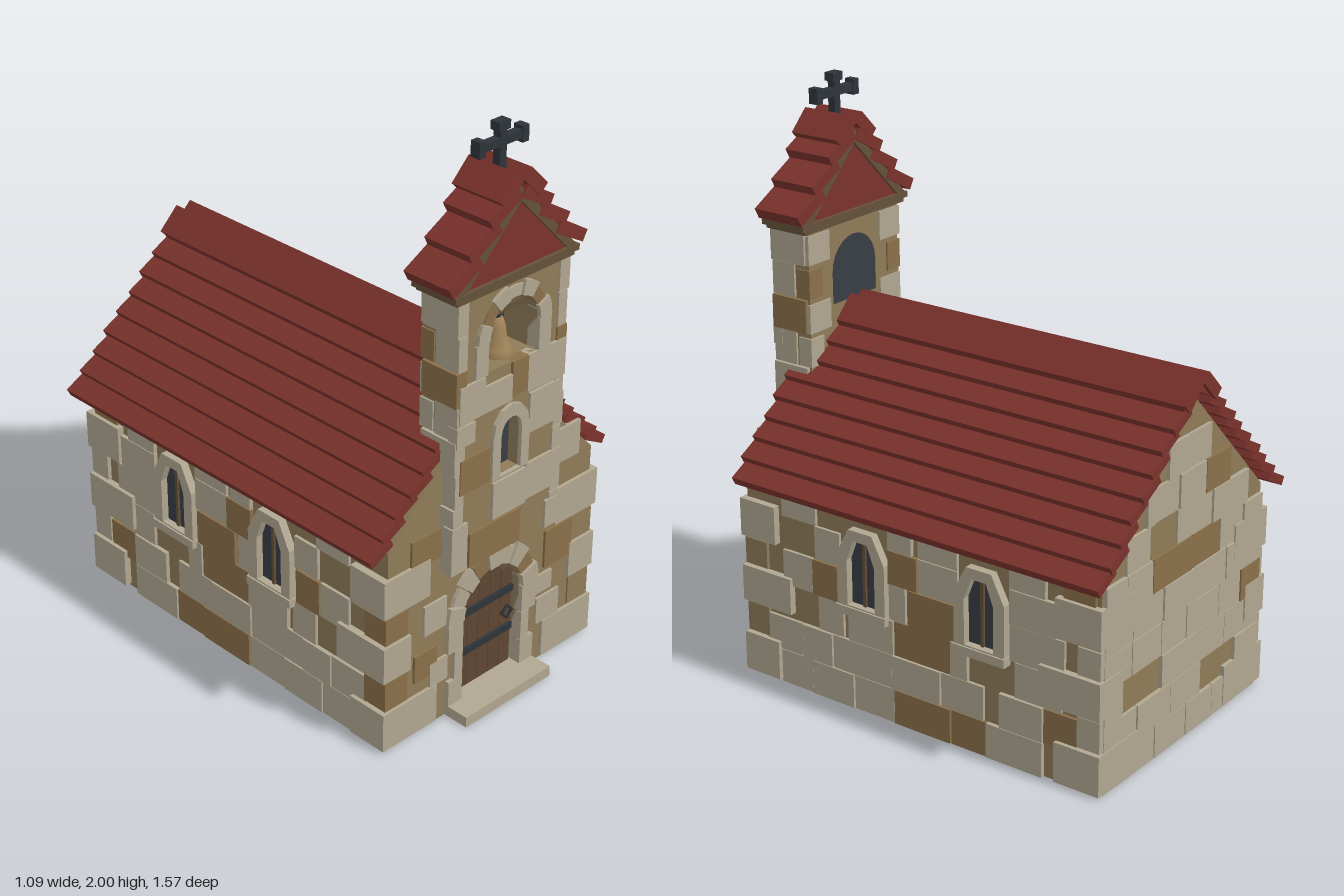
import * as THREE from 'three';

const mat = (name, color) => Object.assign(new THREE.MeshStandardMaterial({ color }), { name });
const M = {
  tan: mat('tan plaster', 0x8f7b58), light: mat('pale stone', 0xb0a791), brown: mat('brown stone', 0x8a7049),
  red: mat('red roof', 0x7a322c), trim: mat('trim wood', 0x65513a), door: mat('door wood', 0x5f4634),
  iron: mat('dark iron', 0x2e343a), glass: mat('dark glass', 0x383d45), bell: mat('bell bronze', 0xa08459),
};

export function createModel() {
  const root = new THREE.Group();
  root.name = 'chapel';
  const group = (name, parent = root) => { const g = new THREE.Group(); g.name = name; parent.add(g); return g; };
  const add = (parent, name, geo, m) => { const o = new THREE.Mesh(geo, m); o.name = name; parent.add(o); return o; };
  // box given by its limits on each axis
  const box = (parent, name, m, x0, x1, y0, y1, z0, z1) => {
    const o = add(parent, name, new THREE.BoxGeometry(Math.abs(x1 - x0), y1 - y0, Math.abs(z1 - z0)), m);
    o.position.set((x0 + x1) / 2, (y0 + y1) / 2, (z0 + z1) / 2);
    return o;
  };
  const poly = pts => new THREE.Shape(pts.map(p => new THREE.Vector2(...p)));
  const extrude = (shape, z0, z1) =>
    new THREE.ExtrudeGeometry(shape, { depth: z1 - z0, bevelEnabled: false, curveSegments: 8 }).translate(0, 0, z0);
  // outline with straight jambs and a rounded head
  const archPts = (hw, y0, ys, ry, n) => {
    const p = [[-hw, y0], [hw, y0]];
    for (let i = 0; i <= n; i++) p.push([hw * Math.cos(Math.PI * i / n), ys + ry * Math.sin(Math.PI * i / n)]);
    return p;
  };
  const archRing = (outer, inner) => { const s = poly(outer); s.holes.push(poly(inner)); return s; };
  // wedge stones around an arch
  const voussoirs = (parent, cy, r0, r1, n, z0, z1) => {
    for (let i = 0; i < n; i++) {
      const a = Math.PI * i / n + 0.015, b = Math.PI * (i + 1) / n - 0.015, r = r1 - (i % 2) * 0.012;
      const at = (q, t) => [q * Math.cos(t), cy + q * Math.sin(t)];
      const s = poly([at(r0, a), at(r, a), at(r, (a + b) / 2), at(r, b), at(r0, b), at(r0, (a + b) / 2)]);
      add(parent, 'archStone', extrude(s, z0, z1 - (i % 2) * 0.006), i % 4 === 1 ? M.brown : M.light);
    }
  };

  // nave with gable ends, and a front wall pierced by the doorway
  const gable = [[-0.465, 0], [0.465, 0], [0.465, 0.735], [0, 1.2], [-0.465, 0.735]];
  const nave = group('nave');
  add(nave, 'naveWalls', extrude(poly(gable), -0.735, 0.59), M.tan);
  const doorway = archPts(0.138, 0.03, 0.345, 0.137, 12);
  const front = poly([[-0.465, 0], [0.465, 0], [0.465, 0.735], [0.23, 0.97], [-0.23, 0.97], [-0.465, 0.735]]);
  front.holes.push(poly(doorway));
  add(nave, 'frontWall', extrude(front, 0.59, 0.688), M.tan);

  // side wall stones by row: [front z, back z, material]
  const L = M.light, B = M.brown;
  const rows = [
    [0, 0.122, [[0.55, 0.41, L], [0.41, 0.23, L], [0.23, 0.06, L], [0.06, -0.17, B], [-0.17, -0.31, B], [-0.31, -0.53, L]]],
    [0.124, 0.244, [[0.61, 0.45, L], [0.45, 0.32, L], [0.32, 0.07, L], [0.07, -0.13, L], [-0.13, -0.3, L], [-0.36, -0.53, L], [-0.53, -0.66, B]]],
    [0.248, 0.37, [[0.38, 0.27, L], [0.25, 0.06, L], [0.06, -0.17, B], [-0.17, -0.24, L], [-0.42, -0.6, L]]],
    [0.372, 0.497, [[0.53, 0.4, L], [0.4, 0.29, B], [0.08, 0.01, L], [0, -0.19, B], [-0.4, -0.61, L]]],
    [0.5, 0.617, [[0.39, 0.28, L], [0.08, -0.04, B], [-0.04, -0.2, L], [-0.4, -0.58, L]]],
    [0.62, 0.72, [[0.53, 0.38, L], [0.08, -0.02, L], [-0.04, -0.2, L], [-0.4, -0.54, L], [-0.6, -0.72, B]]],
  ];
  const stones = group('wallStones');
  for (const s of [1, -1]) {
    for (const [y0, y1, list] of rows)
      list.forEach(([a, b, m], i) => box(stones, 'sideStone', m, s * 0.45, s * (0.476 + (i % 2) * 0.004), y0, y1, b + 0.002, a - 0.002));
    // corner stones wrapping front and back
    [[0.01, 0.15, 0.24], [0.27, 0.4, 0.12], [0.51, 0.645, 0.2]].forEach(([y0, y1, w], i) => {
      const d = [0.15, 0.21, 0.15][i];
      box(stones, 'frontQuoin', L, s * (0.49 - w), s * 0.49, y0, y1, 0.7 - d, 0.7);
      box(stones, 'backQuoin', L, s * (0.49 - w), s * 0.49, y0, y1, -0.75, -0.75 + d + 0.02);
    });
    [[0.155, 0.262], [0.405, 0.5]].forEach(([y0, y1]) => {
      box(stones, 'frontQuoin', s > 0 ? M.tan : B, s * 0.38, s * 0.477, y0, y1, 0.6, 0.694);
      box(stones, 'backQuoin', L, s * 0.4, s * 0.48, y0, y1, -0.744, -0.66);
    });
  }
  // scattered front stones: x0, x1, y0, y1, material
  [[-0.35, -0.25, 0.2, 0.3, B], [-0.31, -0.21, 0.36, 0.47, L], [-0.28, -0.2, 0.15, 0.24, L], [0.22, 0.33, 0.15, 0.25, L],
    [0.25, 0.38, 0.36, 0.5, B], [0.24, 0.395, 0.74, 0.865, L], [-0.37, -0.24, 0.63, 0.735, B], [0.2, 0.29, 0.27, 0.34, L],
  ].forEach(([a, b, c, d, m]) => box(stones, 'frontStone', m, a, b, c, d, 0.67, 0.697));
  // coursed back wall, trimmed under the gable
  let seed = 7;
  const rnd = () => (seed = (seed * 16807) % 2147483647) / 2147483647;
  for (let r = 0; r < 10; r++) {
    const y0 = r * 0.118, y1 = y0 + 0.115, lim = Math.min(0.46, 1.185 - y1);
    for (let x = -lim - (r % 2) * 0.05; x < lim;) {
      const w = 0.13 + rnd() * 0.1, a = Math.max(x, -lim), b = Math.min(x + w, lim), k = rnd();
      if (b - a > 0.03 && k > 0.14) box(stones, 'backStone', k < 0.24 ? B : L, a + 0.002, b - 0.002, y0, y1, -0.744 - rnd() * 0.006, -0.72);
      x += w;
    }
  }

  // side windows
  for (const s of [1, -1]) for (const z of [0.18, -0.295]) {
    const g = group('sideWindow');
    g.position.set(s * 0.46, 0, z);
    g.rotation.y = s * Math.PI / 2;
    const hole = archPts(0.057, 0.385, 0.545, 0.085, 3);
    add(g, 'windowFrame', extrude(archRing(archPts(0.098, 0.355, 0.56, 0.11, 3), hole), 0, 0.034), L);
    add(g, 'windowSill', new THREE.BoxGeometry(0.205, 0.03, 0.045).translate(0, 0.365, 0.018), L);
    add(g, 'windowGlass', extrude(poly(hole), 0, 0.008), M.glass);
    box(g, 'mullion', M.trim, -0.006, 0.006, 0.385, 0.615, 0.006, 0.016);
  }

  // door, jambs, arch and step
  const door = group('door');
  add(door, 'doorRecess', extrude(poly(doorway), 0.592, 0.6), M.glass);
  for (let i = 0; i < 5; i++) {
    const x = -0.104 + i * 0.052, h = 0.345 + Math.sqrt(Math.max(0, 0.018 - (Math.abs(x) + 0.012) ** 2));
    box(door, 'doorPlank', M.door, x - 0.025, x + 0.025, 0.04, h, 0.6, 0.664);
  }
  for (const y of [0.183, 0.332]) box(door, 'doorStrap', M.iron, -0.128, 0.128, y - 0.012, y + 0.012, 0.66, 0.674);
  add(door, 'doorRing', new THREE.TorusGeometry(0.023, 0.006, 5, 4), M.iron).position.set(0.1, 0.25, 0.674);
  voussoirs(door, 0.345, 0.138, 0.212, 9, 0.65, 0.708);
  for (const s of [1, -1]) [[0.03, 0.13, 0.2], [0.132, 0.24, 0.175], [0.242, 0.343, 0.205]].forEach(([y0, y1, x]) =>
    box(door, 'doorJamb', L, s * 0.138, s * x, y0, y1, 0.65, 0.704));
  box(door, 'doorStep', L, -0.2, 0.2, 0, 0.038, 0.6, 0.785);

  // bell tower with through openings
  const tower = group('bellTower');
  const wall = poly([[-0.23, 0.57], [0.23, 0.57], [0.23, 1.53], [-0.23, 1.53]]);
  const bellHole = archPts(0.112, 1.24, 1.35, 0.112, 12), slitHole = archPts(0.046, 0.86, 1.0, 0.056, 8);
  wall.holes.push(poly(bellHole), poly(slitHole));
  add(tower, 'towerWall', extrude(wall, 0.592, 0.738), M.tan);
  add(tower, 'bellNicheBack', extrude(poly(bellHole), 0.594, 0.602), M.glass);
  add(tower, 'towerWindowGlass', extrude(poly(slitHole), 0.69, 0.698), M.glass);
  add(tower, 'towerWindowFrame', extrude(archRing(archPts(0.082, 0.855, 1.0, 0.1, 6), slitHole), 0.7, 0.752), L);
  voussoirs(tower, 1.35, 0.112, 0.162, 7, 0.7, 0.752);
  for (const s of [1, -1]) {
    box(tower, 'bellJamb', L, s * 0.112, s * 0.165, 1.24, 1.35, 0.7, 0.748);
    // stones on the tower flanks and back corners
    for (let i = 0; i < 8; i++) {
      const y = 0.58 + i * 0.118, wide = i % 2;
      box(tower, 'flankStone', i === 5 ? B : L, s * 0.2, s * (0.238 + wide * 0.006), y, y + 0.115, wide ? 0.6 : 0.65, 0.744);
      if (i > 3) box(tower, 'backCornerStone', i % 3 ? L : B, s * (wide ? 0.13 : 0.17), s * 0.236, y, y + 0.1, 0.586, 0.64);
    }
  }
  [[-0.23, -0.12, 1.11, 1.235, L], [-0.12, 0, 1.11, 1.2, L], [0, 0.07, 1.12, 1.24, B], [0.07, 0.24, 1.11, 1.24, L],
    [-0.24, -0.16, 1.03, 1.1, L], [0.085, 0.22, 0.96, 1.1, L], [-0.22, -0.09, 0.86, 0.98, B], [-0.07, 0.08, 0.71, 0.84, L],
    [0.08, 0.24, 0.72, 0.85, L], [-0.25, -0.18, 0.58, 0.75, L], [-0.17, 0.06, 0.58, 0.7, B], [0.18, 0.235, 0.57, 0.67, L],
  ].forEach(([a, b, c, d, m]) => box(tower, 'towerStone', m, a, b, c, d, 0.71, 0.748));

  // bell on its beam
  const bell = [[0, 0.12], [0.018, 0.118], [0.027, 0.09], [0.033, 0.05], [0.045, 0.02], [0.055, 0], [0.045, 0], [0, 0.05]];
  add(tower, 'bell', new THREE.LatheGeometry(bell.reverse().map(p => new THREE.Vector2(...p)), 12), M.bell).position.set(0, 1.25, 0.675);
  box(tower, 'bellBeam', M.trim, -0.112, 0.112, 1.385, 1.405, 0.66, 0.69);
  box(tower, 'bellHanger', M.iron, -0.008, 0.008, 1.36, 1.39, 0.667, 0.683);

  // overlapping roof boards, tilted flatter than the slope
  const board = (parent, name, s, x, y, angle, len, t, z0, z1) => {
    const c = Math.cos(angle), n = Math.sin(angle);
    const pts = [[x, y], [x - c * len, y + n * len], [x - c * len - n * t, y + n * len - c * t], [x - n * t, y - c * t]];
    add(parent, name, extrude(poly(pts.map(p => [s * p[0], p[1]])), z0, z1), M.red);
  };
  const roof = group('naveRoof'), cap = group('towerRoof');
  for (const s of [1, -1]) {
    for (let i = 0; i < 9; i++) {
      const j = ((i * 5 + (s > 0 ? 0 : 2)) % 3) * 0.004;
      board(roof, 'roofBoard', s, 0.545 - 0.0555 * i, 0.74 + 0.0555 * i, 0.49, 0.1, 0.031, -0.77 - j, i < 6 ? 0.68 + j : 0.59);
    }
    board(roof, 'ridgeBoard', s, 0.105, 1.187, 0.785, 0.106, 0.042, -0.785, 0.585);
    for (let i = 0; i < 3; i++)
      board(cap, 'towerRoofBoard', s, 0.3 - 0.08 * i, 1.588 + 0.083 * i, 0.5, 0.14, 0.04, 0.572 + (i % 2) * 0.004, 0.757 - (i % 2) * 0.004);
    board(cap, 'towerRidgeBoard', s, 0.103, 1.803, 0.785, 0.1, 0.045, 0.57, 0.76);
    // raking trim under the tower roof
    const rake = [[0.265, 1.545], [0.225, 1.545], [0, 1.775], [0, 1.82]];
    add(cap, 'rakeTrim', extrude(poly(rake.map(p => [s * p[0], p[1]])), 0.578, 0.752), M.trim);
  }
  add(cap, 'gablePanel', extrude(poly([[-0.23, 1.545], [0.23, 1.545], [0, 1.78]]), 0.59, 0.742), M.red);
  box(cap, 'corniceBeam', M.trim, -0.255, 0.255, 1.515, 1.532, 0.582, 0.748);
  box(cap, 'corniceBeam', M.trim, -0.27, 0.27, 1.53, 1.55, 0.576, 0.755);

  // cross with widened ends
  const cross = group('cross');
  box(cross, 'crossPost', M.iron, -0.014, 0.014, 1.8, 1.99, 0.647, 0.675);
  box(cross, 'crossArm', M.iron, -0.1, 0.1, 1.922, 1.95, 0.648, 0.674);
  box(cross, 'crossTop', M.iron, -0.024, 0.024, 1.972, 2, 0.643, 0.679);
  box(cross, 'crossFoot', M.iron, -0.024, 0.024, 1.835, 1.86, 0.643, 0.679);
  for (const s of [1, -1]) box(cross, 'crossEnd', M.iron, s * 0.078, s * 0.105, 1.91, 1.962, 0.643, 0.679);
  return root;
}
